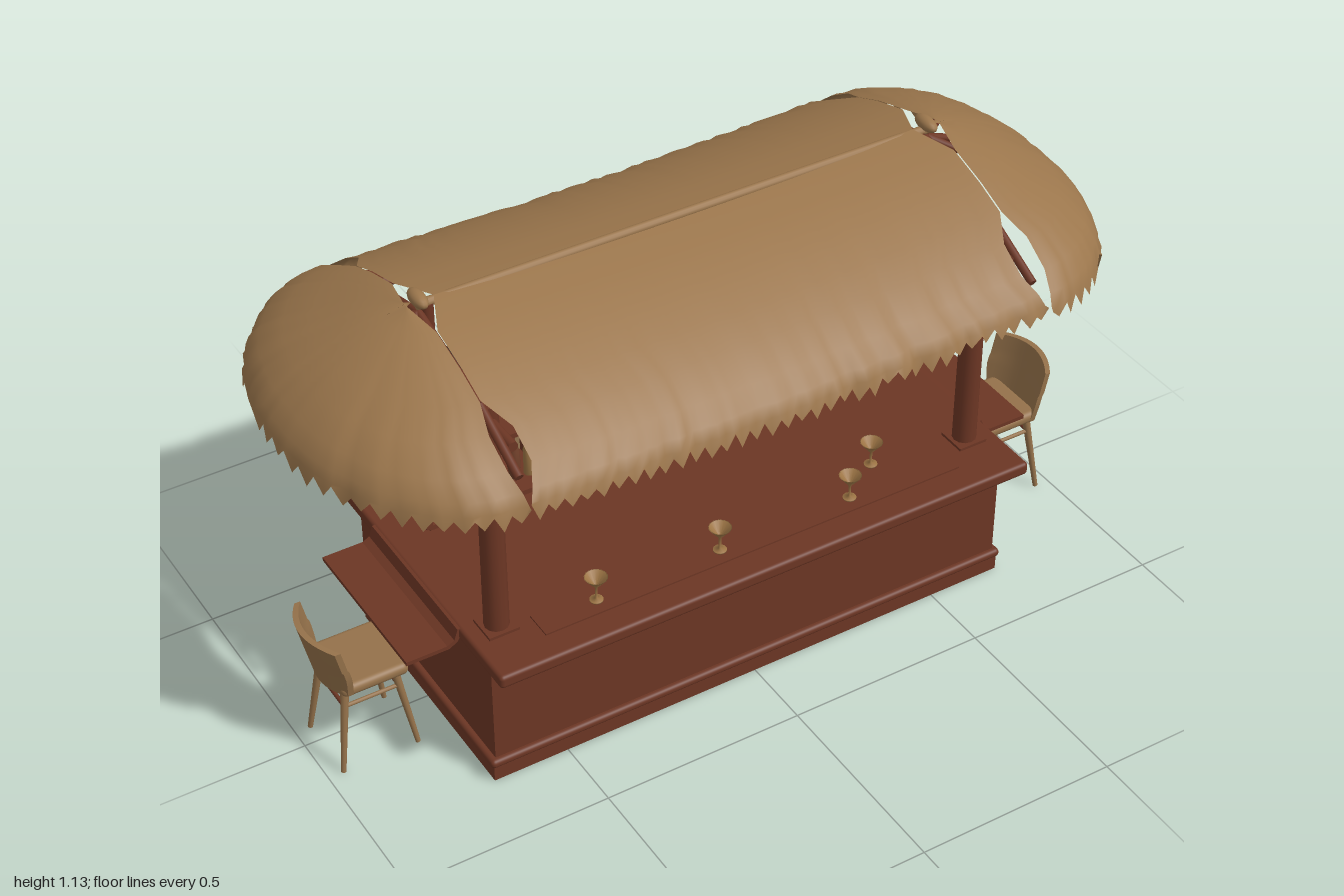
import * as THREE from 'three';
import { RoundedBoxGeometry } from 'three/addons/geometries/RoundedBoxGeometry.js';

const mat = (name, color, side = THREE.FrontSide) => {
  const m = new THREE.MeshStandardMaterial({ color, side });
  m.name = name;
  return m;
};

export function createModel() {
  const root = new THREE.Group();
  root.name = 'thatchedBar';
  const thatch = mat('thatch', 0x9b764c, THREE.DoubleSide);
  const wood = mat('redWood', 0x6c3624);
  const paleWood = mat('paleWood', 0x94714a);
  const board = mat('backBoard', 0x957652);
  const dark = mat('darkMetal', 0x3c382f, THREE.DoubleSide);
  const amber = mat('amberGlass', 0x9c7444, THREE.DoubleSide);
  const russet = mat('russetGlass', 0x70402a, THREE.DoubleSide);

  let seed = 7;
  const rand = () => (seed = (seed * 16807) % 2147483647) / 2147483647;

  const add = (name, geo, m, x = 0, y = 0, z = 0, parent = root) => {
    const mesh = new THREE.Mesh(geo, m);
    mesh.name = name;
    mesh.position.set(x, y, z);
    parent.add(mesh);
    return mesh;
  };
  // box given by its limits on each axis
  const box = (name, m, x0, x1, y0, y1, z0, z1) =>
    add(name, new THREE.BoxGeometry(x1 - x0, y1 - y0, z1 - z0), m, (x0 + x1) / 2, (y0 + y1) / 2, (z0 + z1) / 2);
  // round stick between two points
  const stick = (name, m, a, b, r0, r1 = r0, parent = root) => {
    const p = new THREE.Vector3(...a), q = new THREE.Vector3(...b), d = q.clone().sub(p);
    const mesh = add(name, new THREE.CylinderGeometry(r1, r0, d.length(), 12), m, 0, 0, 0, parent);
    mesh.position.copy(p).add(q).multiplyScalar(0.5);
    mesh.quaternion.setFromUnitVectors(new THREE.Vector3(0, 1, 0), d.normalize());
    return mesh;
  };
  const lathe = (pts, n = 12) => new THREE.LatheGeometry(pts.map(p => new THREE.Vector2(...p)), n);

  // counter body, plinth, moulding and top
  box('counterBody', wood, -0.68, 0.68, 0.03, 0.35, -0.31, 0.315);
  box('plinth', wood, -0.688, 0.688, 0, 0.038, -0.315, 0.322);
  add('baseMoulding', new RoundedBoxGeometry(1.39, 0.022, 0.652, 3, 0.01), wood, 0, 0.05, 0.003);
  add('counterTop', new RoundedBoxGeometry(1.4, 0.034, 0.74, 3, 0.01), wood, 0, 0.358, 0.03);
  box('barMat', wood, -0.55, 0.55, 0.375, 0.379, 0.26, 0.33);

  // stepped side tables
  const ledge = new THREE.Shape();
  [[0.69, 0.374], [0.703, 0.372], [0.712, 0.345], [0.73, 0.336], [0.83, 0.336], [0.83, 0.326],
    [0.725, 0.326], [0.704, 0.338], [0.69, 0.362]].forEach(([x, y], i) => i ? ledge.lineTo(x, y) : ledge.moveTo(x, y));
  const ledgeGeo = new THREE.ExtrudeGeometry(ledge, { depth: 0.41, bevelEnabled: false });
  for (const s of [1, -1]) {
    const t = add('sideTable', ledgeGeo, wood, 0, 0, s > 0 ? -0.2 : 0.21);
    if (s < 0) t.rotation.y = Math.PI;
  }

  // corner posts and roof frame
  for (const x of [-0.625, 0.625]) {
    for (const z of [0.245, -0.275]) {
      stick('cornerPost', wood, [x, 0.37, z], [x, 0.99, z], 0.029, 0.027);
      add('postFoot', new THREE.BoxGeometry(0.075, 0.008, 0.075), wood, x, 0.378, z);
    }
    stick('crossBeam', wood, [x, 0.95, -0.36], [x, 0.95, 0.36], 0.012);
    stick('kingPost', wood, [x, 0.95, 0], [x, 1.09, 0], 0.014);
  }
  for (const z of [0.245, -0.275]) stick('longBeam', wood, [-0.64, 0.965, z], [0.64, 0.965, z], 0.013);
  for (const s of [1, -1]) {
    for (const x of [-0.645, -0.39, -0.13, 0.13, 0.39, 0.645]) {
      stick('rafter', wood, [x, 1.07, 0], [x, 1.0, s * 0.26], 0.01);
      stick('rafterTail', wood, [x, 1.0, s * 0.26], [x, 0.92, s * 0.42], 0.01);
    }
    for (const a of [0.3, 0.5, 0.7]) {
      const dx = Math.sin(a * Math.PI), dz = Math.cos(a * Math.PI);
      stick('endRafter', wood, [s * 0.65, 1.07, 0], [s * (0.65 + 0.19 * dx), 1.0, 0.26 * dz], 0.009);
      stick('endRafterTail', wood, [s * (0.65 + 0.19 * dx), 1.0, 0.26 * dz], [s * (0.65 + 0.3 * dx), 0.92, 0.42 * dz], 0.009);
    }
  }

  // thatch: sloping profile swept along the sides and round the ends, ragged lower edge
  const profile = [[0, 1.105], [0.1, 1.088], [0.2, 1.058], [0.28, 1.025], [0.35, 0.993], [0.42, 0.95], [0.46, 0.915], [0.475, 0.89], [0.482, 0.852]];
  const gap = r => 0.022 * Math.max(0, Math.sin(Math.PI * (r / 0.48 - 0.6) / 0.4));
  const sheet = (name, cols, place) => {
    const pos = [], idx = [], n = profile.length;
    for (let i = 0; i <= cols; i++) {
      const w = (rand() - 0.5) * 0.012, long = i % 2 ? 1 : 0;
      profile.forEach(([r, y], j) => {
        const k = r / 0.48;
        if (j === n - 1) y += long ? (rand() - 0.5) * 0.02 : 0.026 + rand() * 0.012;
        pos.push(...place(i / cols, r + w * k * k, y));
        if (i < cols && j < n - 1) {
          const a = i * n + j, b = a + n;
          idx.push(a, a + 1, b, b, a + 1, b + 1);
        }
      });
    }
    const g = new THREE.BufferGeometry();
    g.setAttribute('position', new THREE.Float32BufferAttribute(pos, 3));
    g.setIndex(idx);
    g.computeVertexNormals();
    add(name, g, thatch);
  };
  for (const s of [1, -1]) {
    sheet('sideThatch', 70, (u, r, y) => {
      const x = s * (2 * u - 1) * (0.652 - 2 * gap(r));
      return [x, y - 0.014 * Math.cos(x / 0.65 * Math.PI / 2), s * r];
    });
    sheet('endThatch', 56, (u, r, y) => {
      const a = u * Math.PI;
      return [s * (0.655 + gap(r) * Math.abs(Math.cos(a)) + Math.sin(a) * r * 0.345 / 0.485), y, s * Math.cos(a) * r];
    });
    const knob = add('ridgeKnob', new THREE.SphereGeometry(0.022, 14, 10), thatch, s * 0.645, 1.108, 0);
    knob.scale.set(0.8, 0.75, 1.7);
  }
  stick('ridgePole', thatch, [-0.65, 1.092, 0], [0.65, 1.092, 0], 0.011);

  // back shelving
  box('backBoard', board, -0.6, 0.6, 0.37, 0.715, -0.262, -0.252);
  box('topShelf', wood, -0.605, 0.605, 0.715, 0.735, -0.268, -0.112);
  box('middleShelf', wood, -0.6, 0.6, 0.543, 0.556, -0.252, -0.12);
  box('bottomShelf', wood, -0.6, 0.6, 0.375, 0.388, -0.268, -0.112);
  for (const x of [-0.282, 0.268]) {
    box('divider', wood, x - 0.008, x + 0.008, 0.38, 0.72, -0.252, -0.12);
    box('shelfUpright', wood, x - 0.012, x + 0.012, 0.375, 1.03, -0.132, -0.11);
  }
  for (const s of [1, -1]) {
    box('shelfSide', wood, s * 0.6 - 0.006, s * 0.6 + 0.006, 0.49, 0.72, -0.256, -0.112);
    box('shelfSideLower', board, s * 0.6 - 0.006, s * 0.6 + 0.006, 0.38, 0.49, -0.256, -0.135);
    box('shelfSideStile', wood, s * 0.6 - 0.008, s * 0.6 + 0.008, 0.38, 0.6, -0.135, -0.112);
  }
  // dark wedges on the back board
  const wedge = (pts, z) => {
    const sh = new THREE.Shape(pts.map(p => new THREE.Vector2(...p)));
    add('boardWedge', new THREE.ExtrudeGeometry(sh, { depth: 0.003, bevelEnabled: false }), wood, 0, 0, z);
  };
  wedge([[0.6, 0.714], [0.1, 0.714], [-0.22, 0.63]], -0.265);
  wedge([[-0.12, 0.545], [0.26, 0.545], [0.26, 0.46]], -0.252);
  wedge([[0.28, 0.714], [0.28, 0.62], [0.595, 0.56], [0.595, 0.714]], -0.252);

  // bottles on both shelves
  const slim = lathe([[0, 0], [0.013, 0], [0.013, 0.07], [0.005, 0.092], [0.005, 0.118], [0.007, 0.12], [0.007, 0.128], [0, 0.128]], 10);
  const round = lathe([[0, 0], [0.011, 0], [0.016, 0.03], [0.014, 0.07], [0.005, 0.09], [0.005, 0.12], [0, 0.12]], 10);
  const bays = [[-0.575, -0.305], [-0.255, 0.245], [0.295, 0.58]];
  for (const y of [0.388, 0.556]) {
    for (const [x0, x1] of bays) {
      for (let x = x0; x <= x1; x += 0.026 + rand() * 0.012) {
        if (y > 0.5 && x > 0.09 && x < 0.2) continue;
        const b = add('bottle', rand() > 0.5 ? slim : round, rand() > 0.42 ? amber : russet, x, y, -0.15 - rand() * 0.06);
        b.scale.y = 0.85 + rand() * 0.3;
      }
    }
  }
  add('bowl', lathe([[0, 0], [0.02, 0], [0.036, 0.035], [0.032, 0.035], [0, 0.01]], 18), russet, 0.145, 0.556, -0.16);

  // cups and dark pots on the top shelf
  const cup = lathe([[0, 0], [0.022, 0], [0.026, 0.05], [0.022, 0.088], [0, 0.088]], 14);
  for (const [x, k] of [[0.22, 0.7], [0.51, 1], [0.57, 0.85]]) add('cup', cup, amber, x, 0.735, -0.2).scale.set(k, k, k);
  for (const x of [0.43, 0.465]) add('topBottle', slim, russet, x, 0.735, -0.17).scale.y = 0.65;
  const pot = lathe([[0, 0], [0.032, 0], [0.038, 0.03], [0.03, 0.06], [0.012, 0.074], [0, 0.075]], 18);
  add('darkPot', pot, dark, -0.55, 0.735, -0.2);
  add('smallDarkPot', pot, dark, -0.47, 0.735, -0.19).scale.set(0.95, 0.8, 0.95);

  // hanging dome lamps
  const dome = lathe([[0.09, 0], [0.088, 0.05], [0.08, 0.09], [0.064, 0.12], [0.038, 0.143], [0, 0.152]], 28);
  for (const x of [-0.347, 0.345]) {
    add('domeLamp', dome, dark, x, 0.73, 0.205);
    stick('lampCord', dark, [x, 0.88, 0.205], [x, 1.04, 0.205], 0.004);
  }

  // cocktail glasses on the counter
  const glass = lathe([[0, 0], [0.016, 0], [0.016, 0.003], [0.003, 0.006], [0.003, 0.036], [0.027, 0.066], [0.025, 0.066], [0, 0.038]], 14);
  for (const [x, z] of [[-0.4, 0.29], [-0.08, 0.29], [0.27, 0.29], [0.38, 0.215]]) add('cocktailGlass', glass, amber, x, 0.379, z);

  // chairs facing the side tables
  for (const s of [1, -1]) {
    const chair = new THREE.Group();
    chair.name = 'chair';
    chair.position.set(s * 0.87, 0, 0.035);
    if (s < 0) chair.rotation.y = Math.PI;
    root.add(chair);
    add('seat', new RoundedBoxGeometry(0.165, 0.032, 0.18, 4, 0.015), paleWood, -0.005, 0.228, 0, chair);
    // curved back shell, wrapped forward at the sides
    const back = new THREE.BoxGeometry(0.014, 0.152, 0.2, 1, 8, 12), p = back.attributes.position;
    for (let i = 0; i < p.count; i++) {
      const v = p.getY(i) / 0.152 + 0.5, z = p.getZ(i) * (0.9 + 0.1 * Math.min(1, v * 3));
      p.setXYZ(i, p.getX(i) + 0.088 + 0.034 * v - 3.6 * z * z, p.getY(i) - 0.6 * z * z * (v > 0.5 ? 1 : -1), z);
    }
    back.computeVertexNormals();
    add('chairBack', back, paleWood, 0, 0.291, 0, chair);
    for (const e of [1, -1]) {
      stick('frontLeg', paleWood, [-0.095, 0, e * 0.085], [-0.06, 0.222, e * 0.06], 0.006, 0.01, chair);
      stick('rearLeg', paleWood, [0.092, 0, e * 0.085], [0.06, 0.222, e * 0.06], 0.006, 0.01, chair);
      stick('sideRung', paleWood, [-0.067, 0.172, e * 0.066], [0.067, 0.172, e * 0.066], 0.005, 0.005, chair);
      stick('crossRung', wood, [e * 0.067, 0.172, -0.066], [e * 0.067, 0.172, 0.066], 0.005, 0.005, chair);
    }
  }
  return root;
}
